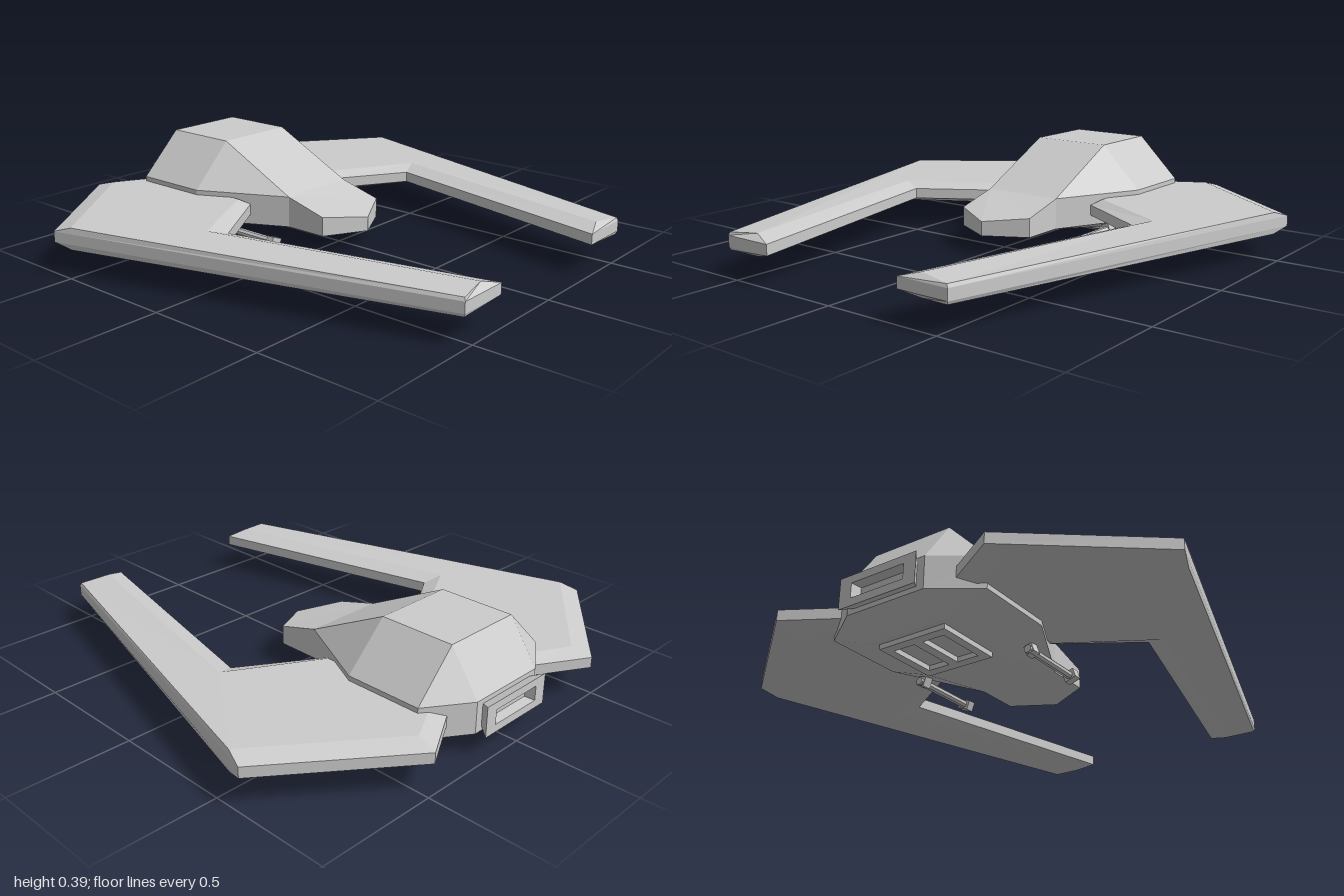
import * as THREE from 'three';

const material = new THREE.MeshStandardMaterial({ color: 0xcccccc, flatShading: true });

function addMesh(parent, geometry, name) {
  const mesh = new THREE.Mesh(geometry, material);
  mesh.name = name;
  parent.add(mesh);
  return mesh;
}

// Skin a stack of equal-length [x, y, z] loops, listed upward, and cap both ends
function loft(loops) {
  const flat = (loop) => loop.map(([x, , z]) => new THREE.Vector2(x, -z));
  if (THREE.ShapeUtils.isClockWise(flat(loops[0]))) loops = loops.map((l) => [...l].reverse());
  const out = [];
  const tri = (a, b, c) => out.push(...a, ...b, ...c);
  for (let k = 0; k + 1 < loops.length; k++) {
    const a = loops[k], b = loops[k + 1];
    a.forEach((p, i) => {
      const j = (i + 1) % a.length;
      tri(p, a[j], b[j]);
      tri(p, b[j], b[i]);
    });
  }
  const bottom = loops[0], top = loops[loops.length - 1];
  for (const [a, b, c] of THREE.ShapeUtils.triangulateShape(flat(bottom), [])) tri(bottom[c], bottom[b], bottom[a]);
  for (const [a, b, c] of THREE.ShapeUtils.triangulateShape(flat(top), [])) tri(top[a], top[b], top[c]);
  const geometry = new THREE.BufferGeometry();
  geometry.setAttribute('position', new THREE.Float32BufferAttribute(out, 3));
  geometry.computeVertexNormals();
  return geometry;
}

// Close a half outline of [x, z] points by mirroring it across x = 0
const mirrored = (half, y) => [
  ...half.map(([x, z]) => [x, y, z]),
  ...[...half].reverse().map(([x, z]) => [-x, y, z]),
];

const rectangle = (w, h, y, cz) => mirrored([[w, cz - h], [w, cz + h]], y);

// Wing corners: [edge x, edge z, face x, face z, half thickness of the face]
const wingCorners = [
  [0.25, -0.87, 0.285, -0.82, 0.045],
  [0.475, -1.0, 0.46, -0.915, 0.045],
  [0.99, -0.605, 0.965, -0.53, 0.045],
  [0.545, 0.995, 0.54, 0.99, 0.035],
  [0.325, 0.995, 0.41, 0.965, 0.045],
  [0.57, -0.075, 0.65, -0.105, 0.045],
  [0.25, -0.275, 0.285, -0.312, 0.045],
];

function wingGeometry(side) {
  const mid = 0.145;
  const face = (s) => wingCorners.map(([, , x, z, t]) => [side * x, mid + s * t, z]);
  const edge = (s) => wingCorners.map(([x, z]) => [side * x, mid + s * 0.022, z]);
  return loft([face(-1), edge(-1), edge(1), face(1)]);
}

function createGun(side) {
  const gun = new THREE.Group();
  gun.name = side > 0 ? 'leftGun' : 'rightGun';
  gun.position.set(side * 0.258, 0.035, 0);
  gun.rotation.z = side * 0.35;
  const barrel = addMesh(gun, new THREE.CylinderGeometry(0.016, 0.016, 0.3, 8), 'barrel');
  barrel.rotation.x = Math.PI / 2;
  barrel.position.z = -0.29;
  addMesh(gun, new THREE.BoxGeometry(0.05, 0.038, 0.035), 'muzzle').position.z = -0.138;
  addMesh(gun, new THREE.BoxGeometry(0.036, 0.05, 0.04), 'gunMount').position.set(0, 0.01, -0.41);
  return gun;
}

export function createModel() {
  const model = new THREE.Group();
  model.name = 'spacecraft';

  // Hull: octagonal belt tapering to flat plates above and below
  const belt = [[0.175, -0.94], [0.355, -0.82], [0.355, -0.49], [0.175, -0.125]];
  const plate = [[0.175, -0.815], [0.175, -0.815], [0.175, -0.49], [0.175, -0.49]];
  addMesh(model, loft([
    mirrored(plate, 0.02), mirrored(belt, 0.08), mirrored(belt, 0.21), mirrored(plate, 0.39),
  ]), 'hull');

  // Nose: pointed wedge ahead of the hull
  const noseTop = [
    [0.175, 0.21, -0.125], [0.175, 0.16, 0.06], [0, 0.14, 0.155],
    [-0.175, 0.16, 0.06], [-0.175, 0.21, -0.125],
  ];
  addMesh(model, loft([noseTop.map(([x, , z]) => [x, 0.08, z]), noseTop]), 'nose');

  // Wings and guns on both sides
  for (const side of [1, -1]) {
    addMesh(model, wingGeometry(side), side > 0 ? 'leftWing' : 'rightWing');
    model.add(createGun(side));
  }

  // Engine: flared rectangular nozzle with a recessed slot, stacked towards the rear
  const engine = loft([
    rectangle(0.135, 0.042, 0.93, 0.145),
    rectangle(0.175, 0.062, 0.985, 0.145),
    rectangle(0.12, 0.03, 0.985, 0.145),
    rectangle(0.11, 0.025, 0.945, 0.145),
  ]);
  engine.rotateX(-Math.PI / 2);
  addMesh(model, engine, 'engineNozzle');

  // Belly hatch: frame with two long slots
  const rect = (Type, x0, x1, y0, y1) => new Type([[x0, y0], [x1, y0], [x1, y1], [x0, y1]]
    .map(([x, y]) => new THREE.Vector2(x, y)));
  const hatch = rect(THREE.Shape, -0.15, 0.15, 0.51, 0.79);
  for (const x of [-0.115, 0.02]) hatch.holes.push(rect(THREE.Path, x, x + 0.095, 0.55, 0.75));
  const hatchGeometry = new THREE.ExtrudeGeometry(hatch, { depth: 0.022, bevelEnabled: false });
  hatchGeometry.rotateX(-Math.PI / 2);
  addMesh(model, hatchGeometry, 'bellyHatch');

  return model;
}
